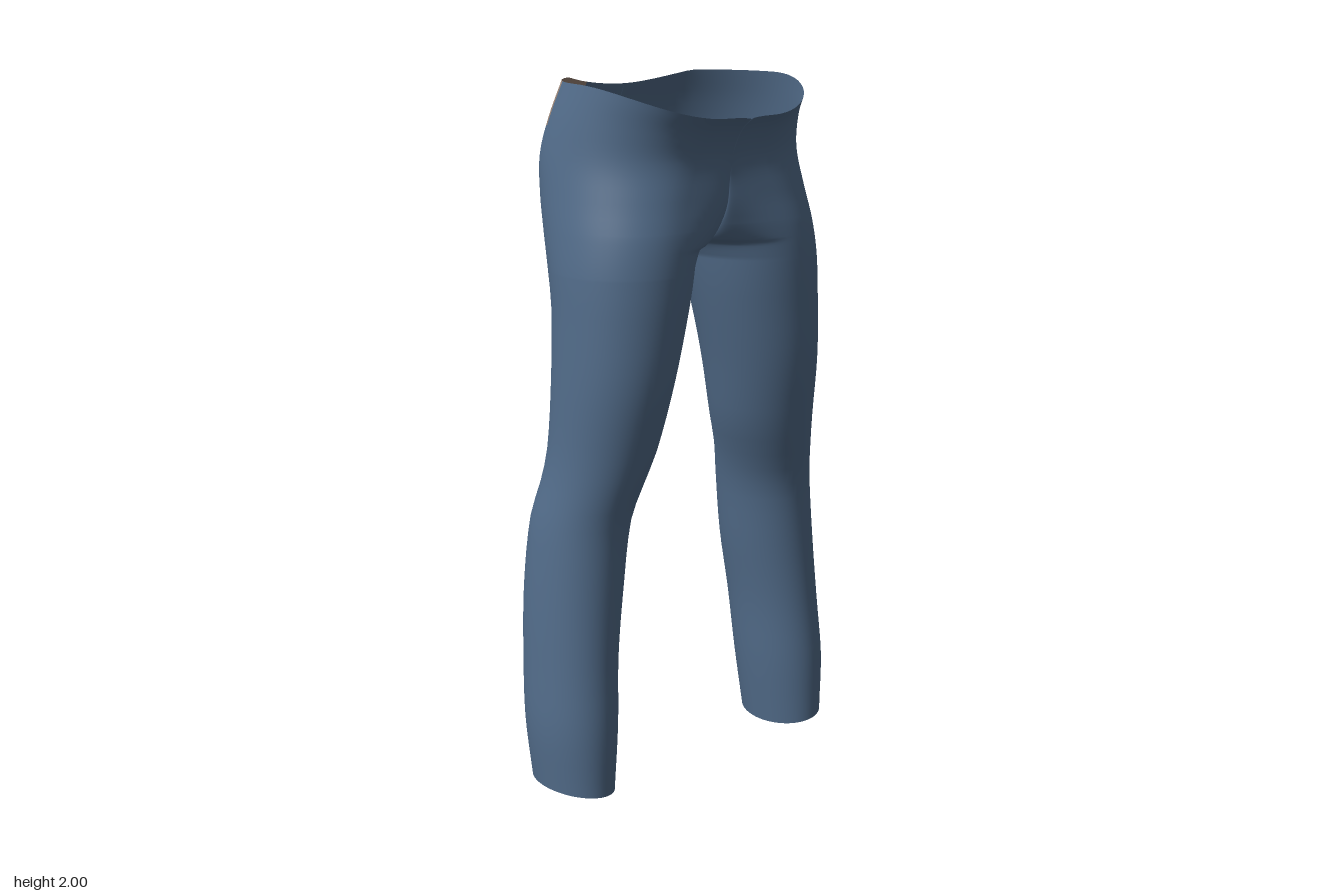
import * as THREE from 'three';
import { mergeVertices } from 'three/addons/utils/BufferGeometryUtils.js';

// Profile of one half: height, outer x, inner x, front z, back z, widest-depth x, centre front z, centre back z
const PROFILE = [
  [0.00, 0.513, 0.305, 0.140, -0.143, 0.409, 0, 0],
  [0.20, 0.525, 0.282, 0.140, -0.165, 0.403, 0, 0],
  [0.40, 0.516, 0.265, 0.126, -0.180, 0.390, 0, 0],
  [0.60, 0.502, 0.236, 0.120, -0.190, 0.369, 0, 0],
  [0.80, 0.480, 0.210, 0.126, -0.180, 0.345, 0, 0],
  [0.90, 0.460, 0.184, 0.150, -0.158, 0.322, 0, 0],
  [1.00, 0.446, 0.150, 0.175, -0.145, 0.298, 0, 0],
  [1.20, 0.436, 0.105, 0.214, -0.145, 0.270, 0, 0],
  [1.40, 0.427, 0.058, 0.230, -0.160, 0.240, 0.20, -0.15],
  [1.50, 0.424, 0.037, 0.234, -0.185, 0.225, 0.20, -0.18],
  [1.60, 0.414, 0.025, 0.231, -0.225, 0.205, 0.20, -0.21],
  [1.70, 0.400, 0.000, 0.220, -0.270, 0.170, 0.205, -0.245],
  [1.80, 0.385, 0.000, 0.217, -0.300, 0.130, 0.220, -0.290],
  [1.90, 0.368, 0.000, 0.245, -0.285, 0.100, 0.252, -0.278],
  [2.00, 0.348, 0.000, 0.290, -0.250, 0.080, 0.300, -0.245],
];
const CROTCH = 1.56;
const Q = 16; // segments per quarter section

// Smooth (Hermite) lookup in the profile
function sample(y) {
  const P = PROFILE;
  let i = 0;
  while (i < P.length - 2 && y > P[i + 1][0]) i++;
  const h = P[i + 1][0] - P[i][0], t = (y - P[i][0]) / h;
  const slope = (k, c) => {
    const a = P[Math.max(k - 1, 0)], b = P[Math.min(k + 1, P.length - 1)];
    return (b[c] - a[c]) / (b[0] - a[0]);
  };
  return P[i].map((v, c) => {
    const t2 = t * t, t3 = t2 * t;
    return v * (2 * t3 - 3 * t2 + 1) + slope(i, c) * h * (t3 - 2 * t2 + t)
      + P[i + 1][c] * (3 * t2 - 2 * t3) + slope(i + 1, c) * h * (t3 - t2);
  });
}

// One section, from the inner front round the outside to the inner back.
// Below the crotch it closes into a leg; above, it is open along x = 0.
function section(y) {
  let [, out, inner, zf, zb, cx, cf, cb] = sample(y);
  const zc = (zf + zb) / 2;
  if (y >= CROTCH - 1e-6) {
    const t = Math.min((y - CROTCH) / 0.14, 1);
    const k = t <= 1e-6 ? 0 : Math.sqrt(1 - (1 - t) ** 2);
    inner = 0;
    cf = zc + (cf - zc) * k;
    cb = zc + (cb - zc) * k;
  } else {
    inner *= Math.sqrt(Math.min(1, (CROTCH - y) / 0.05));
    cf = cb = zc;
  }
  const points = [];
  for (let j = 0; j <= 4 * Q; j++) {
    const a = (j / Q - 1) * Math.PI / 2; // -90 inner front, 0 front, 90 outside, 180 back, 270 inner back
    const s = Math.sin(a), c = Math.cos(a);
    let x, z;
    if (j < Q) { x = cx + (cx - inner) * s; z = cf + (zf - cf) * c; }
    else if (j <= 2 * Q) { x = cx + (out - cx) * s; z = zc + (zf - zc) * c; }
    else if (j <= 3 * Q) { x = cx + (out - cx) * s; z = zc - (zb - zc) * c; }
    else { x = cx + (cx - inner) * s; z = cb - (zb - cb) * c; }
    if (j === 0 || j === 4 * Q) x = inner;
    let py = y;
    // Slanted hem
    if (y < 0.3) py += 0.03 * (x - inner) / (out - inner) * (1 - y / 0.3);
    // Curved waistline, lower at the front and dipping slightly at the back
    if (y > 1.8) {
      const rim = z > 0 ? 2 - 0.09 * (z / 0.3) ** 2 : 2 - 0.03 * Math.max(0, 1 - (x / 0.22) ** 2) * Math.min(1, -z / 0.1);
      py = 1.8 + (y - 1.8) * (rim - 1.8) / 0.2;
    }
    points.push([x, py, z]);
  }
  return points;
}

function trouserGeometry() {
  const heights = [];
  for (let i = 0; i < 30; i++) heights.push(i * 0.05);
  for (let i = 0; i < 20; i++) heights.push(1.5 + i * 0.006);
  for (let i = 0; i <= 19; i++) heights.push(1.62 + i * 0.02);

  const positions = [], cloth = [], patch = [];
  const n = 4 * Q + 1;
  for (const side of [1, -1]) {
    const base = positions.length / 3;
    for (const y of heights)
      for (const [x, py, z] of section(y)) positions.push(side * x, py, z);
    for (let i = 0; i < heights.length - 1; i++) {
      for (let j = 0; j < n - 1; j++) {
        const a = base + i * n + j, b = a + 1, c = b + n, d = a + n;
        // Patch on the right of the back waist
        const inPatch = side < 0 && heights[i] > 1.875 && j >= 3 * Q - 11 && j < 3 * Q - 2;
        (inPatch ? patch : cloth).push(...(side > 0 ? [a, b, c, a, c, d] : [a, c, b, a, d, c]));
      }
    }
  }
  let g = new THREE.BufferGeometry();
  g.setAttribute('position', new THREE.Float32BufferAttribute(positions, 3));
  g.setIndex([...cloth, ...patch]);
  g = mergeVertices(g, 1e-4); // welds the centre and inner-leg seams
  g.clearGroups();
  g.addGroup(0, cloth.length, 0);
  g.addGroup(cloth.length, patch.length, 1);
  // Slight lean of the waist to the right
  const p = g.attributes.position;
  for (let i = 0; i < p.count; i++) p.setX(i, p.getX(i) - 0.005 * p.getY(i));
  g.computeVertexNormals();
  return g;
}

export function createModel() {
  const denim = new THREE.MeshStandardMaterial({ color: 0x526c8a, side: THREE.DoubleSide });
  denim.name = 'denim blue';
  const label = new THREE.MeshStandardMaterial({ color: 0x9c8677, side: THREE.DoubleSide });
  label.name = 'patch tan';

  const group = new THREE.Group();
  group.name = 'trousers';
  const mesh = new THREE.Mesh(trouserGeometry(), [denim, label]);
  mesh.name = 'trouserLegsAndWaistPatch';
  group.add(mesh);
  return group;
}
